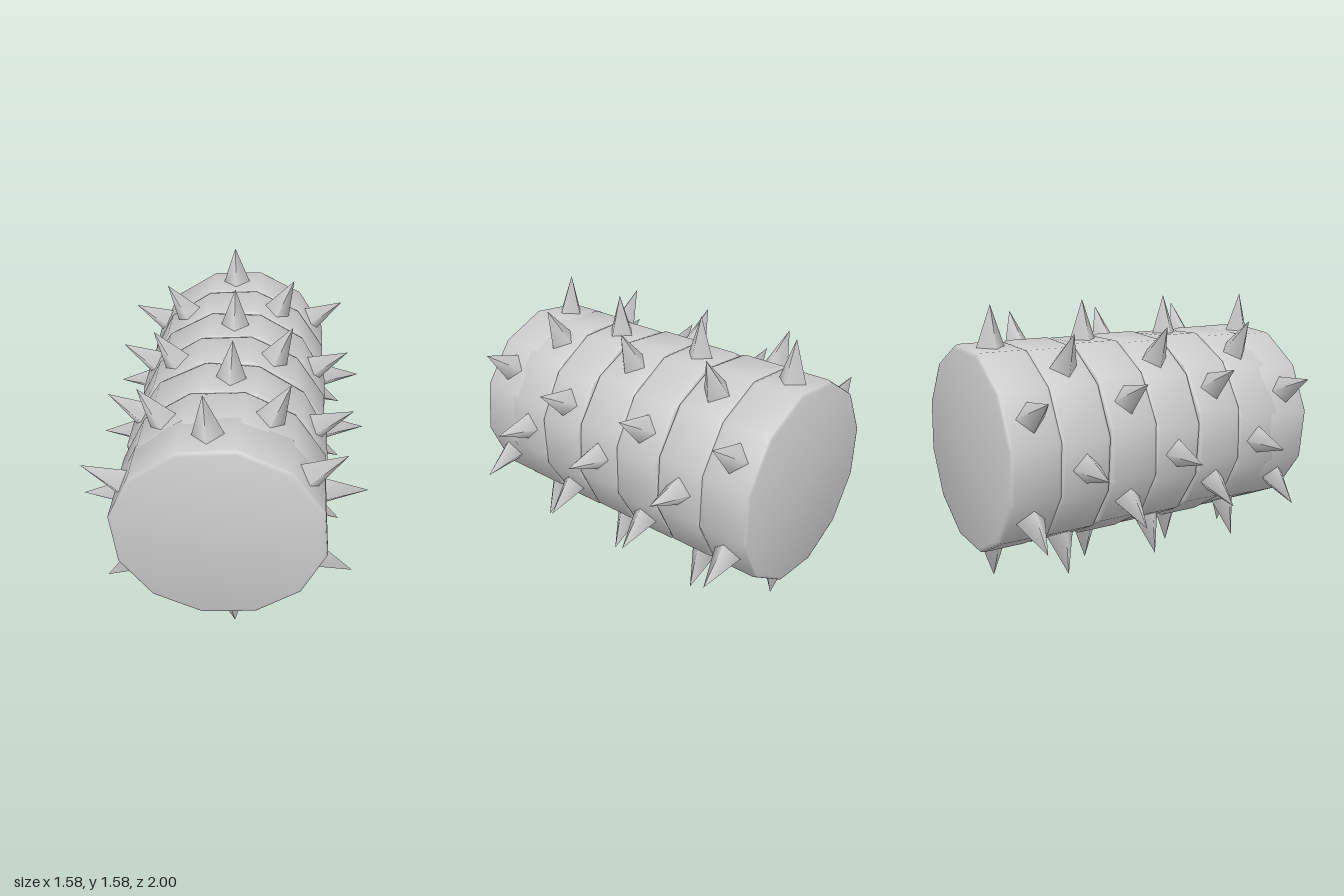
import * as THREE from 'three';
import { toCreasedNormals } from 'three/addons/utils/BufferGeometryUtils.js';

const AXIS_Y = 0.79;
const RADIUS = 0.58;
const TIP = 0.79;
const SPIKE_BASE = 0.54;

// depth centre and turn (degrees) of each ring, front to back
const RINGS = [
  [0.85, 35.8], [0.62, 4.2], [0.33, 28], [0.03, 4.2],
  [-0.26, 30], [-0.56, 4.2], [-0.85, 33],
];

// twelve-sided drum with a rounded rim, lying along z
function drumGeometry() {
  const h = 0.15, b = 0.025;
  const half = [[0, h], [RADIUS - b, h], [RADIUS - 0.007, h - 0.007], [RADIUS, h - b]];
  const profile = [
    ...half.map(([r, y]) => new THREE.Vector2(r, -y)),
    ...half.reverse().map(([r, y]) => new THREE.Vector2(r, y)),
  ];
  const geometry = new THREE.LatheGeometry(profile, 12);
  geometry.rotateX(Math.PI / 2);
  return toCreasedNormals(geometry, 0.85);
}

// four-sided spike pointing along +x, its base sunk in the drum
function spikeGeometry() {
  const length = TIP - SPIKE_BASE;
  const geometry = new THREE.ConeGeometry(0.09, length, 4);
  geometry.rotateZ(-Math.PI / 2);
  geometry.translate(SPIKE_BASE + length / 2, 0, 0);
  return geometry;
}

export function createModel() {
  const model = new THREE.Group();
  model.name = 'spikedRoller';
  const material = new THREE.MeshStandardMaterial({ color: 0xcccccc });
  const drumGeo = drumGeometry();
  const spikeGeo = spikeGeometry();

  RINGS.forEach(([z, turn], i) => {
    const ring = new THREE.Group();
    ring.name = `ring${i + 1}`;
    ring.position.set(0, AXIS_Y, z);
    ring.rotation.z = THREE.MathUtils.degToRad(turn);

    // drum, turned so that a flat lies under each spike
    const drum = new THREE.Mesh(drumGeo, material);
    drum.name = 'drum';
    drum.rotation.z = Math.PI / 12;
    ring.add(drum);

    // six spikes around the drum
    for (let k = 0; k < 6; k++) {
      const spike = new THREE.Mesh(spikeGeo, material);
      spike.name = `spike${k + 1}`;
      spike.rotation.z = (k * Math.PI) / 3;
      ring.add(spike);
    }
    model.add(ring);
  });
  return model;
}
